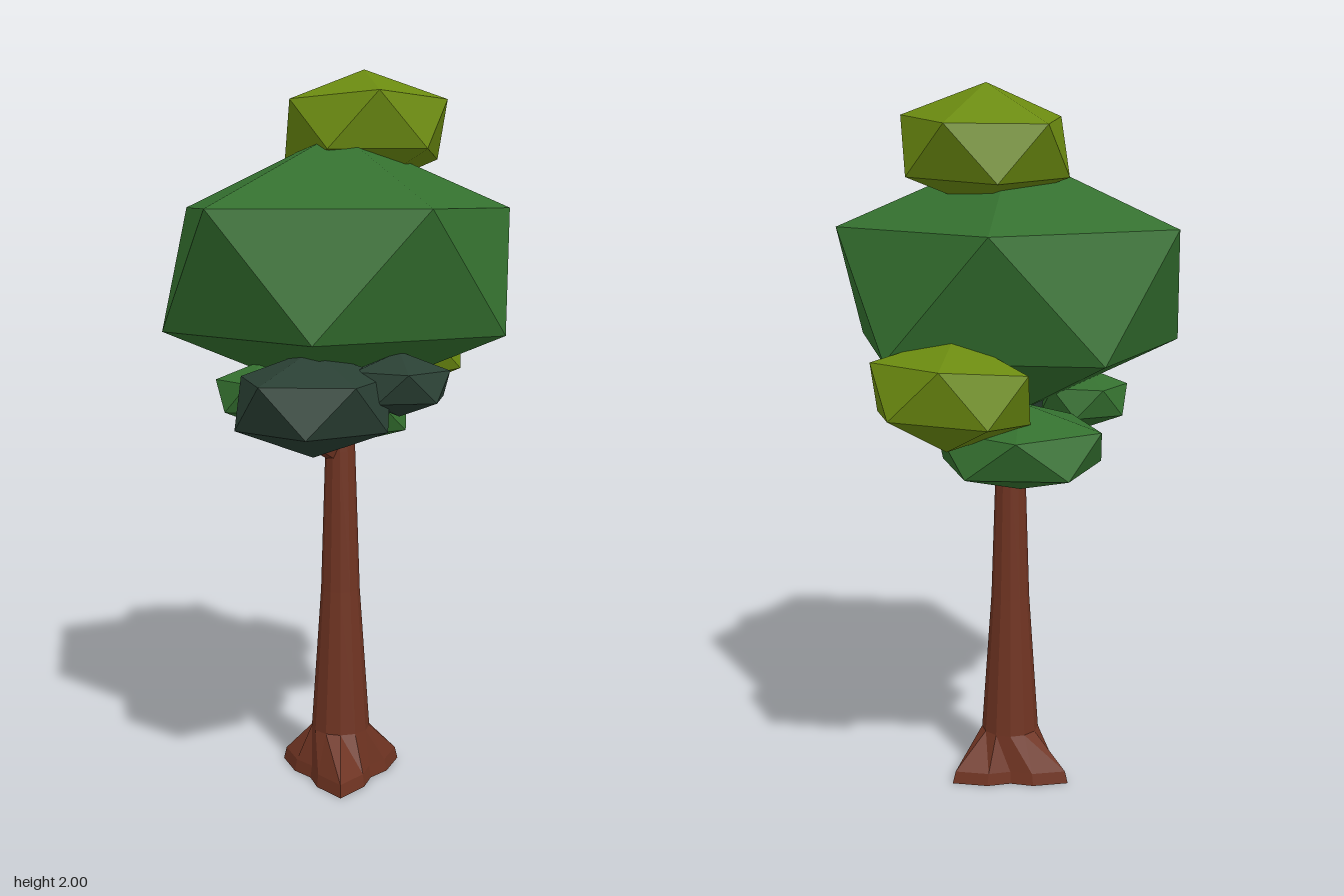
import * as THREE from 'three';

const rad = THREE.MathUtils.degToRad;
const paint = (color) => new THREE.MeshStandardMaterial({ color, flatShading: true });
const green = paint(0x34702f);
const lime = paint(0x6b8a10);
const dark = paint(0x2a4034);
const bark = paint(0x703422);

// Foliage clump: a squashed icosahedron standing on a corner.
// r is the radius of its corner rings, h its half height, turn the heading of one upper corner.
function clump(name, material, [x, y, z], r, h, turn, tiltX = 0, tiltZ = 0) {
  const geometry = new THREE.IcosahedronGeometry(1, 0);
  geometry.rotateX(-Math.atan((1 + Math.sqrt(5)) / 2));
  geometry.rotateY(rad(90 - turn));
  geometry.scale(r / 0.894, h, r / 0.894);
  const mesh = new THREE.Mesh(geometry, material);
  mesh.name = name;
  mesh.position.set(x, y, z);
  mesh.rotation.set(tiltX, 0, tiltZ);
  return mesh;
}

// Tapered six-sided branch between two points
function branch(name, from, to, r0, r1) {
  const a = new THREE.Vector3(...from);
  const b = new THREE.Vector3(...to);
  const dir = b.clone().sub(a);
  const mesh = new THREE.Mesh(new THREE.CylinderGeometry(r1, r0, dir.length(), 6), bark);
  mesh.name = name;
  mesh.position.copy(a).add(b).multiplyScalar(0.5);
  mesh.quaternion.setFromUnitVectors(new THREE.Vector3(0, 1, 0), dir.normalize());
  return mesh;
}

// Tapered trunk whose lowest rings are drawn out into three roots
function trunk() {
  const profile = [[0, 0], [0.1, 0], [0.095, 0.035], [0.083, 0.14], [0.055, 0.55], [0.042, 0.95], [0.034, 1.3], [0, 1.3]];
  const geometry = new THREE.LatheGeometry(profile.map(([r, y]) => new THREE.Vector2(r, y)), 12);
  geometry.rotateY(rad(10));
  const pos = geometry.attributes.position;
  for (let i = 0; i < pos.count; i++) {
    if (pos.getY(i) > 0.1) continue;
    const angle = Math.atan2(pos.getZ(i), pos.getX(i));
    const lobe = ((1 + Math.cos(3 * (angle - rad(20)))) / 2) ** 1.5;
    const k = 1 + 0.95 * lobe;
    pos.setX(i, pos.getX(i) * k);
    pos.setZ(i, pos.getZ(i) * k);
  }
  const mesh = new THREE.Mesh(geometry, bark);
  mesh.name = 'trunk';
  mesh.position.x = -0.05;
  return mesh;
}

export function createModel() {
  const tree = new THREE.Group();
  tree.name = 'tree';
  tree.add(
    trunk(),
    branch('rightBranch', [-0.04, 0.93, 0], [-0.27, 1.06, -0.04], 0.03, 0.02),
    branch('leftBranch', [-0.05, 0.92, 0], [0.06, 1.02, -0.1], 0.026, 0.02),
    clump('mainCrown', green, [-0.055, 1.455, 0], 0.485, 0.369, 183.5),
    clump('topClump', lime, [0.072, 1.833, -0.01], 0.23, 0.165, -85, -0.07, -0.05),
    clump('leftClump', lime, [0.32, 1.21, -0.105], 0.215, 0.152, -32, 0, 0.12),
    clump('lowerBackClump', green, [0.09, 1.04, -0.15], 0.23, 0.12, 36),
    clump('smallBackClump', green, [-0.25, 1.12, -0.11], 0.125, 0.09, 10),
    clump('rightClump', dark, [-0.335, 1.125, 0.15], 0.205, 0.14, 180),
    clump('smallFrontClump', dark, [-0.155, 1.17, 0.29], 0.132, 0.085, 60),
  );
  return tree;
}
